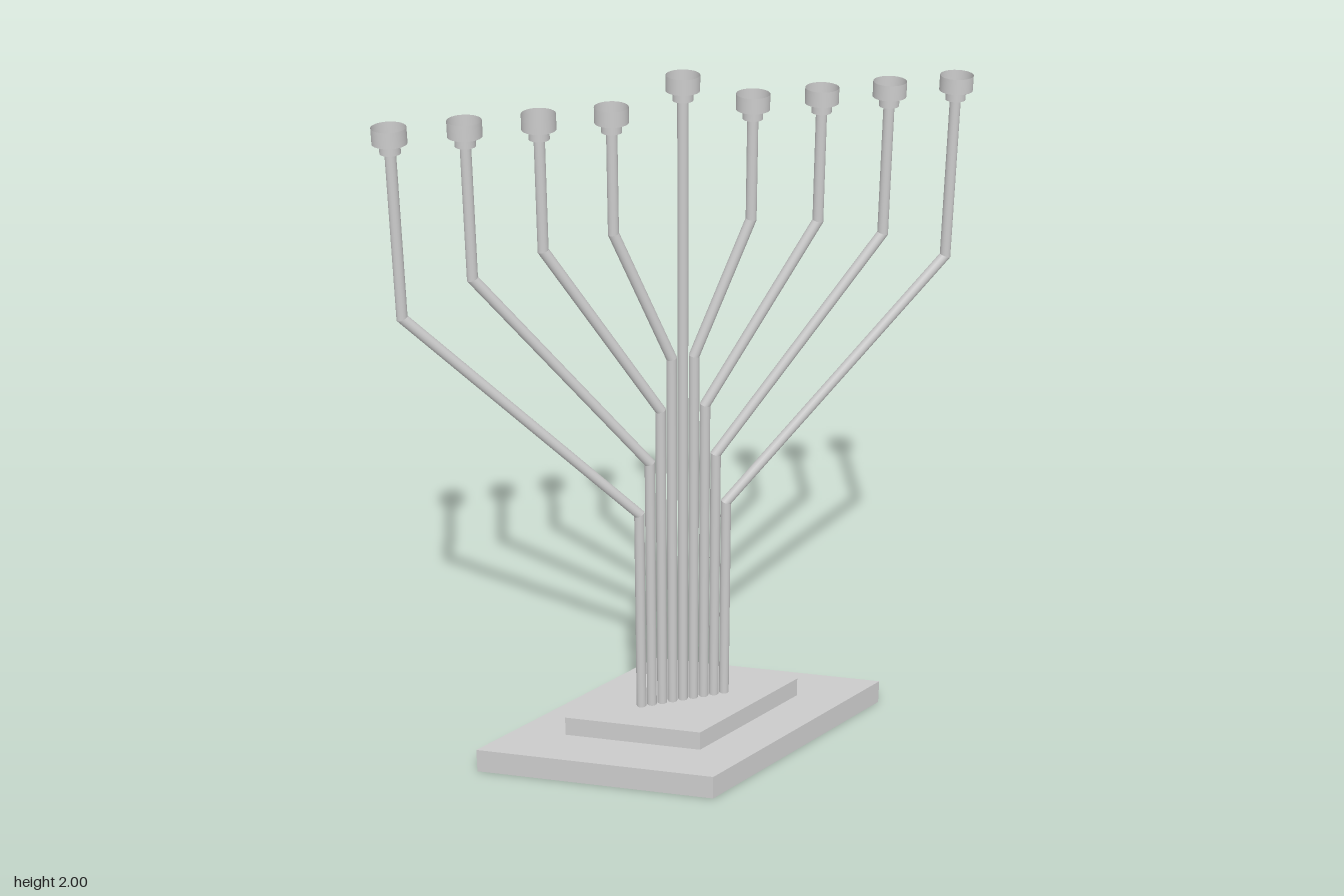
import * as THREE from 'three';

const material = new THREE.MeshStandardMaterial({ color: 0xcccccc, side: THREE.DoubleSide });
const PIPE_R = 0.0142, SIDES = 16, SPACING = 0.031;

function addMesh(parent, name, geometry) {
  const mesh = new THREE.Mesh(geometry, material);
  mesh.name = name;
  parent.add(mesh);
  return mesh;
}

// Diamond-shaped slab lying flat, from y0 to y1
function diamondSlab(halfX, halfZ, y0, y1) {
  const shape = new THREE.Shape([
    new THREE.Vector2(halfX, 0), new THREE.Vector2(0, halfZ),
    new THREE.Vector2(-halfX, 0), new THREE.Vector2(0, -halfZ),
  ]);
  const geometry = new THREE.ExtrudeGeometry(shape, { depth: y1 - y0, bevelEnabled: false });
  return geometry.rotateX(-Math.PI / 2).translate(0, y0, 0);
}

// Round pipe through points in the xy plane, with sharp mitred bends
function mitredPipe(points) {
  const positions = [], normals = [], indices = [];
  const dirs = points.slice(1).map((p, i) => p.clone().sub(points[i]).normalize());
  const ring = (p, side, miter) => {
    for (let j = 0; j <= SIDES; j++) {
      const a = (j / SIDES) * Math.PI * 2, c = Math.cos(a), s = Math.sin(a);
      positions.push(p.x + miter.x * c * PIPE_R, p.y + miter.y * c * PIPE_R, s * PIPE_R);
      normals.push(side.x * c, side.y * c, s);
    }
  };
  dirs.forEach((dir, i) => {
    const side = new THREE.Vector2(dir.y, -dir.x);
    const miterWith = (other) => {
      if (!other) return side;
      const m = new THREE.Vector2(other.y, -other.x).add(side).normalize();
      return m.divideScalar(m.dot(side));
    };
    const base = positions.length / 3;
    ring(points[i], side, miterWith(dirs[i - 1]));
    ring(points[i + 1], side, miterWith(dirs[i + 1]));
    for (let j = 0; j < SIDES; j++) {
      const a = base + j, b = a + SIDES + 1;
      indices.push(a, b, a + 1, b, b + 1, a + 1);
    }
  });
  const geometry = new THREE.BufferGeometry();
  geometry.setAttribute('position', new THREE.Float32BufferAttribute(positions, 3));
  geometry.setAttribute('normal', new THREE.Float32BufferAttribute(normals, 3));
  geometry.setIndex(indices);
  return geometry;
}

// Collar with a shallow open cup on top, standing at (x, y)
function addHolder(parent, x, y) {
  const holder = new THREE.Group();
  holder.name = 'candleHolder';
  holder.position.set(x, y, 0);
  addMesh(holder, 'collar', new THREE.CylinderGeometry(0.026, 0.026, 0.025, 24).translate(0, 0.0125, 0));
  addMesh(holder, 'cupWall', new THREE.CylinderGeometry(0.043, 0.043, 0.04, 32, 1, true).translate(0, 0.045, 0));
  addMesh(holder, 'cupFloor', new THREE.CircleGeometry(0.043, 32).rotateX(-Math.PI / 2).translate(0, 0.025, 0));
  parent.add(holder);
}

function addBranch(parent, name, coords) {
  const branch = new THREE.Group();
  branch.name = name;
  addMesh(branch, 'pipe', mitredPipe(coords.map(([x, y]) => new THREE.Vector2(x, y))));
  const [x, y] = coords[coords.length - 1];
  addHolder(branch, x, y);
  parent.add(branch);
}

export function createModel() {
  const model = new THREE.Group();
  model.name = 'candelabrum';

  // Stepped diamond base
  addMesh(model, 'lowerBase', diamondSlab(0.61, 0.305, 0, 0.075));
  addMesh(model, 'upperBase', diamondSlab(0.35, 0.175, 0.075, 0.135));

  // Straight central stem, slightly taller than the branches
  addBranch(model, 'centreStem', [[0, 0.13], [0, 1.935]]);

  // Four mirrored pairs: lower bend height, upper bend height, inner to outer
  const bends = [[1.23, 1.6], [1.08, 1.575], [0.925, 1.52], [0.77, 1.435]];
  bends.forEach(([low, high], i) => {
    for (const side of [-1, 1]) {
      const inner = side * SPACING * (i + 1), outer = side * 0.183 * (i + 1);
      addBranch(model, side > 0 ? 'leftBranch' : 'rightBranch',
        [[inner, 0.13], [inner, low], [outer, high], [outer, 1.87]]);
    }
  });
  return model;
}
